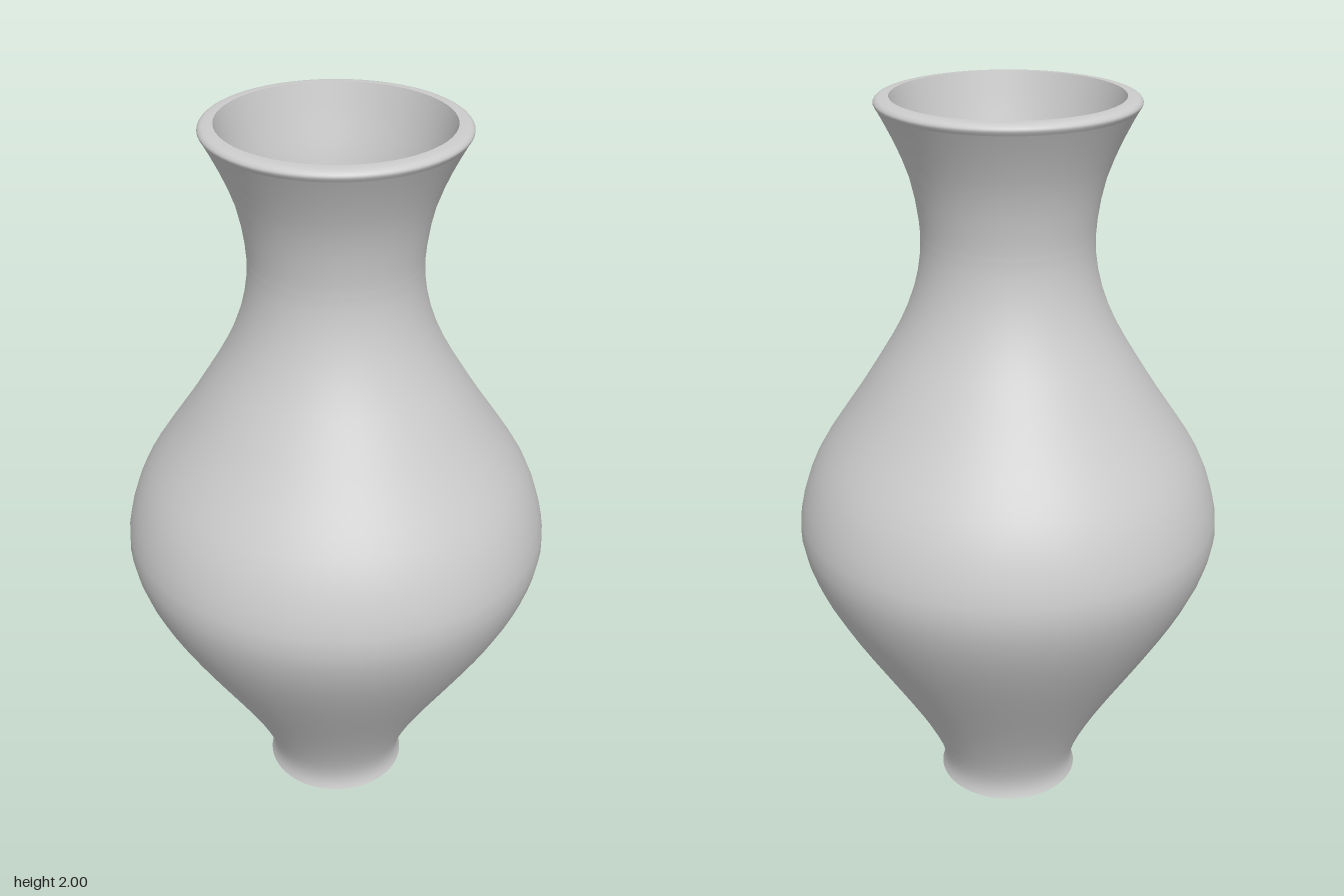
import * as THREE from 'three';

const material = new THREE.MeshStandardMaterial({ color: 0xcccccc, side: THREE.DoubleSide });
const SEGMENTS = 64;

// Smooth curve through [radius, height] pairs
function smoothProfile(pairs, divisions) {
  return new THREE.SplineCurve(pairs.map(([r, y]) => new THREE.Vector2(r, y))).getPoints(divisions);
}

function lathe(name, points) {
  const mesh = new THREE.Mesh(new THREE.LatheGeometry(points, SEGMENTS), material);
  mesh.name = name;
  return mesh;
}

export function createModel() {
  const vase = new THREE.Group();
  vase.name = 'vase';

  // Thin wall: narrow foot, full round belly, slim neck and flared mouth
  const wall = smoothProfile([
    [0.197, 0], [0.189, 0.035], [0.204, 0.1], [0.252, 0.2], [0.31, 0.3], [0.372, 0.4],
    [0.434, 0.5], [0.492, 0.6], [0.545, 0.71], [0.574, 0.82], [0.561, 0.92],
    [0.524, 1.02], [0.469, 1.11], [0.408, 1.2], [0.345, 1.3], [0.287, 1.4],
    [0.246, 1.5], [0.226, 1.6], [0.228, 1.69], [0.249, 1.8], [0.289, 1.9], [0.326, 1.972],
  ], 42);
  vase.add(lathe('body', wall));

  // Rounded lip rising from the outer edge to the opening
  const lip = smoothProfile([
    [0.326, 1.972], [0.333, 1.985], [0.326, 1.995], [0.312, 1.999], [0.294, 2],
  ], 16);
  vase.add(lathe('lip', lip));

  // Inner throat tapering into the neck
  const throat = smoothProfile([
    [0.294, 2], [0.274, 1.92], [0.245, 1.81], [0.227, 1.7], [0.225, 1.6],
  ], 16);
  vase.add(lathe('throat', throat));

  // Flat base closing the foot
  const base = new THREE.Mesh(new THREE.CircleGeometry(0.197, SEGMENTS), material);
  base.name = 'base';
  base.rotation.x = Math.PI / 2;
  vase.add(base);

  return vase;
}
